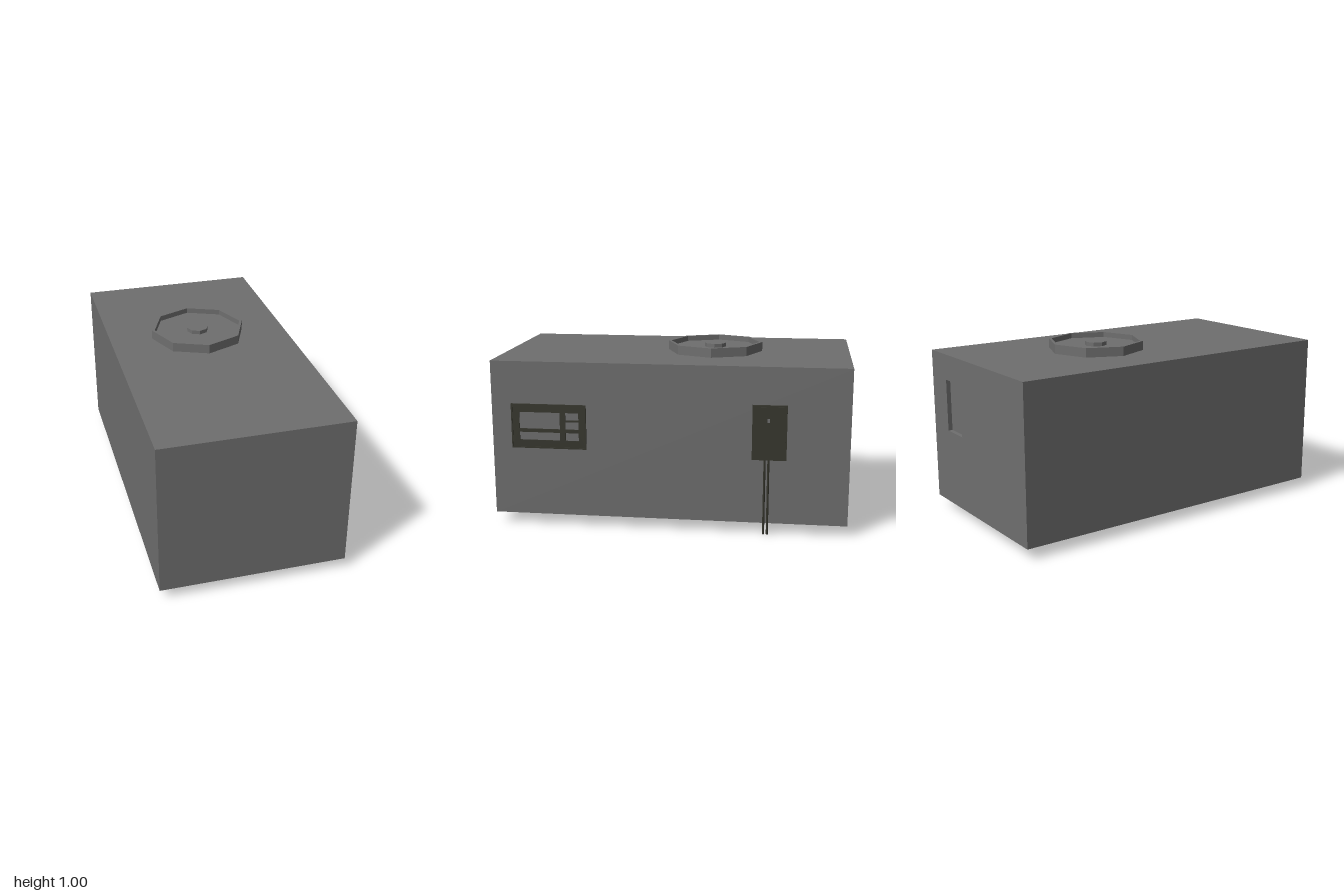
import * as THREE from 'three';
import { mergeGeometries } from 'three/addons/utils/BufferGeometryUtils.js';

const wallGrey = new THREE.MeshStandardMaterial({ color: 0x6e6e6e });
wallGrey.name = 'wallGrey';
const darkMetal = new THREE.MeshStandardMaterial({ color: 0x36362d });
darkMetal.name = 'darkMetal';

// Walls of the block
const X0 = -0.533, X1 = 0.517, Y0 = 0.063, Y1 = 0.947;

function add(parent, name, geometry, material, x = 0, y = 0, z = 0) {
  const mesh = new THREE.Mesh(geometry, material);
  mesh.name = name;
  mesh.position.set(x, y, z);
  parent.add(mesh);
  return mesh;
}

// Clockwise or not, ShapeGeometry sorts out the winding of outline and holes
function rect(target, x0, x1, y0, y1) {
  target.moveTo(x0, y0);
  target.lineTo(x1, y0);
  target.lineTo(x1, y1);
  target.lineTo(x0, y1);
  target.closePath();
  return target;
}

// Box without its -z face
function openBackBox(w, h, d) {
  const g = new THREE.BoxGeometry(w, h, d);
  g.setIndex(Array.from(g.index.array).slice(0, 30));
  g.clearGroups();
  return g;
}

// Eight-sided turned part with flat faces
function octagon(profile) {
  const points = profile.map(([r, y]) => new THREE.Vector2(r, y));
  const g = new THREE.LatheGeometry(points, 8).toNonIndexed();
  g.computeVertexNormals();
  return g;
}

function buildBlock() {
  const shell = openBackBox(X1 - X0, Y1 - Y0, 2);
  shell.translate((X0 + X1) / 2, (Y0 + Y1) / 2, 0);

  // Back wall with a doorway opening (x is mirrored by the half turn)
  const hole = { x0: 0.17, x1: 0.345, y0: 0.5, y1: 0.8, depth: 0.025 };
  const wall = rect(new THREE.Shape(), -X1, -X0, Y0, Y1);
  wall.holes.push(rect(new THREE.Path(), -hole.x1, -hole.x0, hole.y0, hole.y1));
  const back = new THREE.ShapeGeometry(wall);
  back.rotateY(Math.PI);
  back.translate(0, 0, -1);

  // Shallow niche: an open box turned inside out
  const niche = openBackBox(hole.x1 - hole.x0, hole.y1 - hole.y0, hole.depth);
  niche.scale(-1, 1, 1);
  niche.computeVertexNormals();
  niche.translate((hole.x0 + hole.x1) / 2, (hole.y0 + hole.y1) / 2, -1 + hole.depth / 2);

  return mergeGeometries([shell, back, niche]);
}

function buildWindow() {
  // Drawn facing +z, then turned to face +x, so shape x becomes -z
  const frame = rect(new THREE.Shape(), -0.888, -0.46, 0.453, 0.707);
  const columns = [[-0.842, -0.61], [-0.578, -0.503]];
  const panes = [
    [columns[0], [0.565, 0.66]], [columns[0], [0.5, 0.545]],
    [columns[1], [0.618, 0.66]], [columns[1], [0.565, 0.608]], [columns[1], [0.5, 0.545]],
  ];
  for (const [[a, b], [c, d]] of panes) frame.holes.push(rect(new THREE.Path(), a, b, c, d));
  const grille = new THREE.ExtrudeGeometry(frame, { depth: 0.005, bevelEnabled: false });

  // Raised outer rim
  const rimShape = rect(new THREE.Shape(), -0.888, -0.46, 0.453, 0.707);
  rimShape.holes.push(rect(new THREE.Path(), -0.88, -0.468, 0.461, 0.699));
  const rim = new THREE.ExtrudeGeometry(rimShape, { depth: 0.009, bevelEnabled: false });

  const group = new THREE.Group();
  group.name = 'window';
  add(group, 'windowGrille', grille, darkMetal);
  add(group, 'windowRim', rim, darkMetal);
  group.rotation.y = Math.PI / 2;
  group.position.x = X1;
  return group;
}

function buildFuseBox() {
  const group = new THREE.Group();
  group.name = 'fuseBox';
  const y = 0.583, z = -0.561;
  add(group, 'fuseBoxCase', new THREE.BoxGeometry(0.012, 0.308, 0.19), darkMetal, X1 + 0.006, y, z);
  add(group, 'fuseBoxDoor', new THREE.BoxGeometry(0.004, 0.29, 0.172), darkMetal, X1 + 0.014, y, z);
  add(group, 'doorLatch', new THREE.BoxGeometry(0.001, 0.022, 0.014), wallGrey, X1 + 0.0163, 0.652, -0.555);
  // Twin cable pipes down to the ground
  for (const pz of [-0.537, -0.558]) {
    add(group, 'cablePipe', new THREE.CylinderGeometry(0.006, 0.006, 0.43, 8), darkMetal, X1 + 0.007, 0.215, pz);
  }
  return group;
}

function buildRoofVent() {
  const group = new THREE.Group();
  group.name = 'roofVent';
  const tray = octagon([[0.278, 0], [0.278, 0.053], [0.261, 0.053], [0.261, 0.023], [0, 0.023]]);
  add(group, 'ventRing', tray, wallGrey);
  add(group, 'ventHub', octagon([[0.063, 0.023], [0.063, 0.045], [0, 0.045]]), wallGrey);
  group.position.set(-0.008, Y1, -0.212);
  return group;
}

export function createModel() {
  const model = new THREE.Group();
  model.name = 'utilityBuilding';
  add(model, 'block', buildBlock(), wallGrey);
  model.add(buildRoofVent(), buildWindow(), buildFuseBox());
  return model;
}
